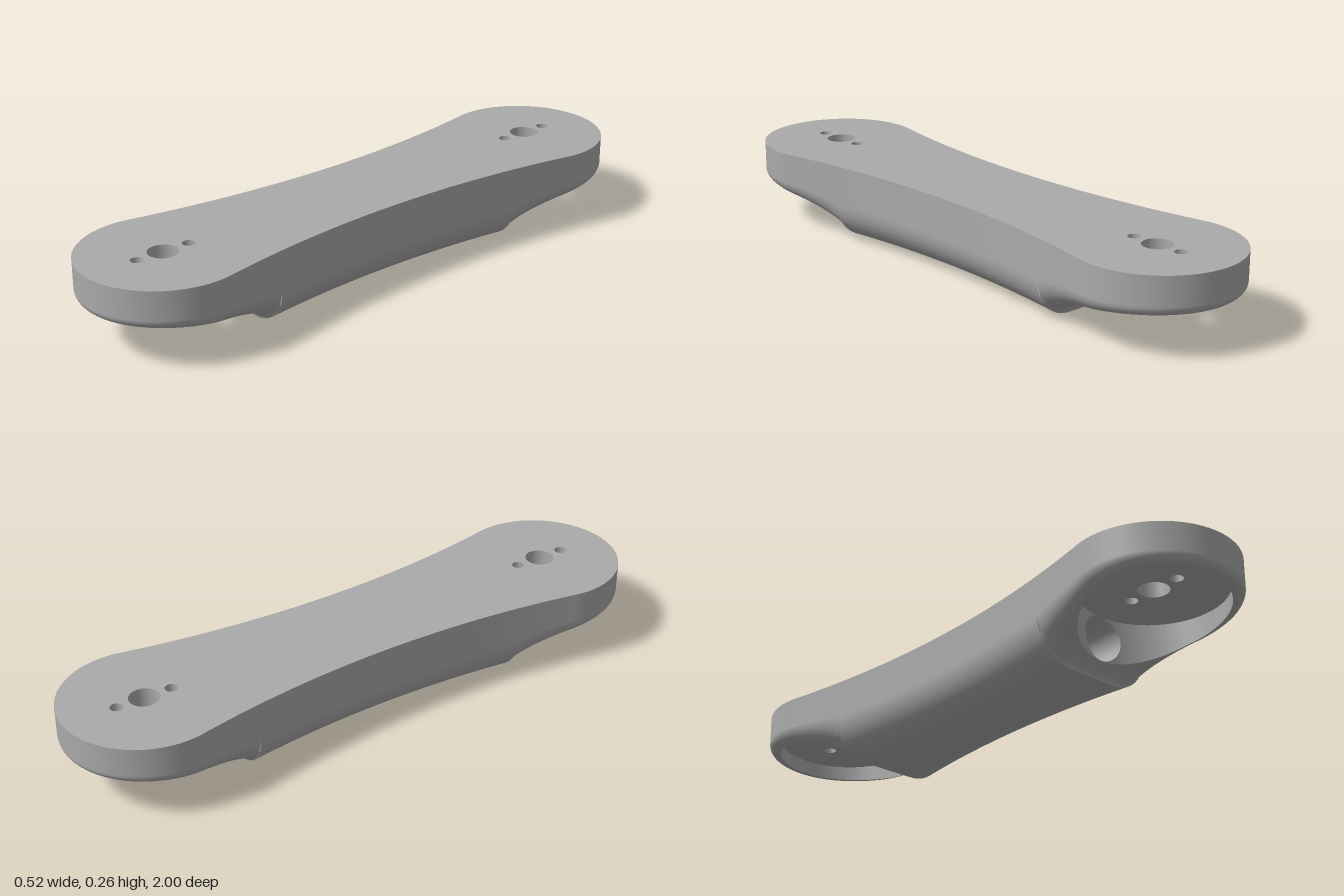
import * as THREE from 'three';

const TOP = 0.26, CEILING = 0.185;          // top face and pocket ceiling heights
const END_Z = 0.74, END_R = 0.26;           // rounded ends
const FLAT_Z = 0.48;                        // half length of the deep middle
const POCKET_R = 0.222;
const BORE_R = 0.072, BORE_Y = 0.113;       // lengthwise cable bore
const WAIST = 0.183;
// Side arc tangent to both rounded ends
const ARC_R = (END_Z ** 2 + WAIST ** 2 - END_R ** 2) / (2 * (END_R - WAIST));
const ARC_X = ARC_R + WAIST;
const halfWidth = (z) => ARC_X - Math.sqrt(ARC_R ** 2 - z * z);
const TANGENT = Math.PI / 2 + Math.atan2(END_Z, ARC_X);
const CORNER = Math.PI / 2 + Math.atan2(END_Z - FLAT_Z, halfWidth(FLAT_Z));
const { PI, sin, cos, abs, sqrt, hypot } = Math;

// Surface from a rule p(u, v) -> [x, y, z]
function grid(nu, nv, p) {
  const pos = [], idx = [];
  for (let i = 0; i <= nu; i++) {
    for (let j = 0; j <= nv; j++) {
      pos.push(...p(i / nu, j / nv, j));
      if (i < nu && j < nv) {
        const a = i * (nv + 1) + j, b = a + nv + 1;
        idx.push(a, b, a + 1, b, b + 1, a + 1);
      }
    }
  }
  const g = new THREE.BufferGeometry();
  g.setAttribute('position', new THREE.Float32BufferAttribute(pos, 3));
  g.setIndex(idx);
  g.computeVertexNormals();
  return g;
}

// Height of the underside: swept profile plus an edge fillet that shrinks toward the ends
function underside(x, z) {
  const az = abs(z);
  const u = Math.min(1, (0.98 - az) / 0.5);
  const base = az <= FLAT_Z ? 0 : 0.138 * (1 - Math.min(1, u * u)) ** 0.65;
  const r = 0.03 + 0.1 * (1 - base / 0.138);
  const phi = Math.atan2(abs(x), az - END_Z);
  const d = phi < TANGENT ? END_R - hypot(x, az - END_Z) : hypot(ARC_X - abs(x), z) - ARC_R;
  const k = Math.min(r, Math.max(0, r - d));
  return base + r - sqrt(r * r - k * k);
}

// Distance from an end's centre to the edge of its region; phi is measured from +z
function reach(phi) {
  const a = abs(phi > PI ? phi - 2 * PI : phi);
  if (a <= TANGENT) return END_R;
  if (a > CORNER + 1e-9) return (END_Z - FLAT_Z) / -cos(a);
  const b = ARC_X * sin(a) - END_Z * cos(a);
  return b - sqrt(b * b - (ARC_X ** 2 + END_Z ** 2 - ARC_R ** 2));
}

const polar = (phi, rho) => [rho * sin(phi), END_Z + rho * cos(phi)];

const SCREWS = [[0, 0.047], [-0.09, 0.02], [0.09, 0.02]]; // z offset, radius

function punch(shape, centre) {
  for (const [dz, r] of SCREWS) {
    const hole = new THREE.Path();
    hole.absarc(0, centre + dz, r, 0, PI * 2, true);
    shape.holes.push(hole);
  }
}

export function createModel() {
  const grey = new THREE.MeshStandardMaterial({ color: 0xaaaaaa, side: THREE.DoubleSide });
  grey.name = 'grey';
  const model = new THREE.Group();
  model.name = 'linkArm';
  const add = (parent, name, geometry) => {
    const mesh = new THREE.Mesh(geometry, grey);
    mesh.name = name;
    parent.add(mesh);
    return mesh;
  };

  // Top face with screw holes
  const half = [];
  for (let i = 0; i <= 96; i++) {
    const phi = CORNER * (i / 48 - 1);
    half.push(new THREE.Vector2(...polar(phi, reach(phi))));
  }
  for (let i = 1; i < 32; i++) {
    const z = FLAT_Z * (1 - i / 16);
    half.push(new THREE.Vector2(halfWidth(z), z));
  }
  const outline = new THREE.Shape([...half, ...half.map((p) => p.clone().negate())]);
  punch(outline, END_Z);
  punch(outline, -END_Z);
  add(model, 'topFace', new THREE.ShapeGeometry(outline, 32).rotateX(-PI / 2).translate(0, TOP, 0));

  // Middle body: side walls and rounded belly
  const N = 48;
  add(model, 'middleBody', grid(32, N + 2, (u, v, j) => {
    const z = FLAT_Z * (2 * u - 1);
    const a = PI * (Math.min(N, Math.max(0, j - 1)) / N - 0.5);
    const x = -halfWidth(z) * sin(a);
    return [x, j === 0 || j === N + 2 ? TOP : underside(x, z), z];
  }));

  // Lengthwise bore, trimmed to the pocket walls
  add(model, 'cableBore', grid(1, 64, (u, v) => {
    const x = BORE_R * cos(v * 2 * PI), y = BORE_Y + BORE_R * sin(v * 2 * PI);
    return [x, y, (2 * u - 1) * (END_Z - sqrt(POCKET_R ** 2 - x * x))];
  }));

  // Two identical ends
  for (const side of ['front', 'back']) {
    const end = new THREE.Group();
    end.name = side + 'End';
    if (side === 'back') end.rotation.y = PI;
    model.add(end);

    const ringPoint = (phi, s) => {
      const out = reach(phi);
      const [x, z] = polar(phi, out - (out - POCKET_R) * (1 - s) ** 2);
      return [x, underside(x, z), z];
    };
    // Outer rim with its fillet and upright wall
    const M = 24;
    add(end, 'rim', grid(144, M + 1, (u, v, j) => {
      const p = ringPoint(CORNER * (2 * u - 1), Math.min(1, j / M));
      if (j > M) p[1] = TOP;
      return p;
    }));
    // Sloping lip between pocket and belly
    add(end, 'slopingLip', grid(48, M, (u, v) => ringPoint(CORNER + (2 * PI - 2 * CORNER) * u, v)));

    // Pocket wall, with an opening where the bore enters
    const wall = (phi, v, high, low) => {
      const [x, z] = polar(phi, POCKET_R);
      const a = high ?? CEILING, b = low ?? underside(x, z);
      return [x, a + (b - a) * v, z];
    };
    const open = PI - Math.asin(BORE_R / POCKET_R);
    add(end, 'pocketWall', grid(128, 1, (u, v) => wall(open * (2 * u - 1), v)));
    const boreEdge = (u) => [PI - Math.asin(BORE_R * cos(u * PI) / POCKET_R), BORE_R * sin(u * PI)];
    add(end, 'wallAboveBore', grid(32, 1, (u, v) => {
      const [phi, h] = boreEdge(u);
      return wall(phi, v, CEILING, BORE_Y + h);
    }));
    add(end, 'wallBelowBore', grid(32, 1, (u, v) => {
      const [phi, h] = boreEdge(u);
      return wall(phi, v, BORE_Y - h);
    }));

    // Pocket ceiling
    const disc = new THREE.Shape();
    disc.absarc(0, END_Z, POCKET_R, 0, PI * 2);
    punch(disc, END_Z);
    add(end, 'pocketCeiling', new THREE.ShapeGeometry(disc, 64).rotateX(PI / 2).translate(0, CEILING, 0));

    // Screw hole walls
    for (const [dz, r] of SCREWS) {
      add(end, 'screwHole', grid(32, 1, (u, v) => [
        r * sin(u * 2 * PI), TOP + (CEILING - TOP) * v, END_Z + dz + r * cos(u * 2 * PI),
      ]));
    }
  }
  return model;
}
